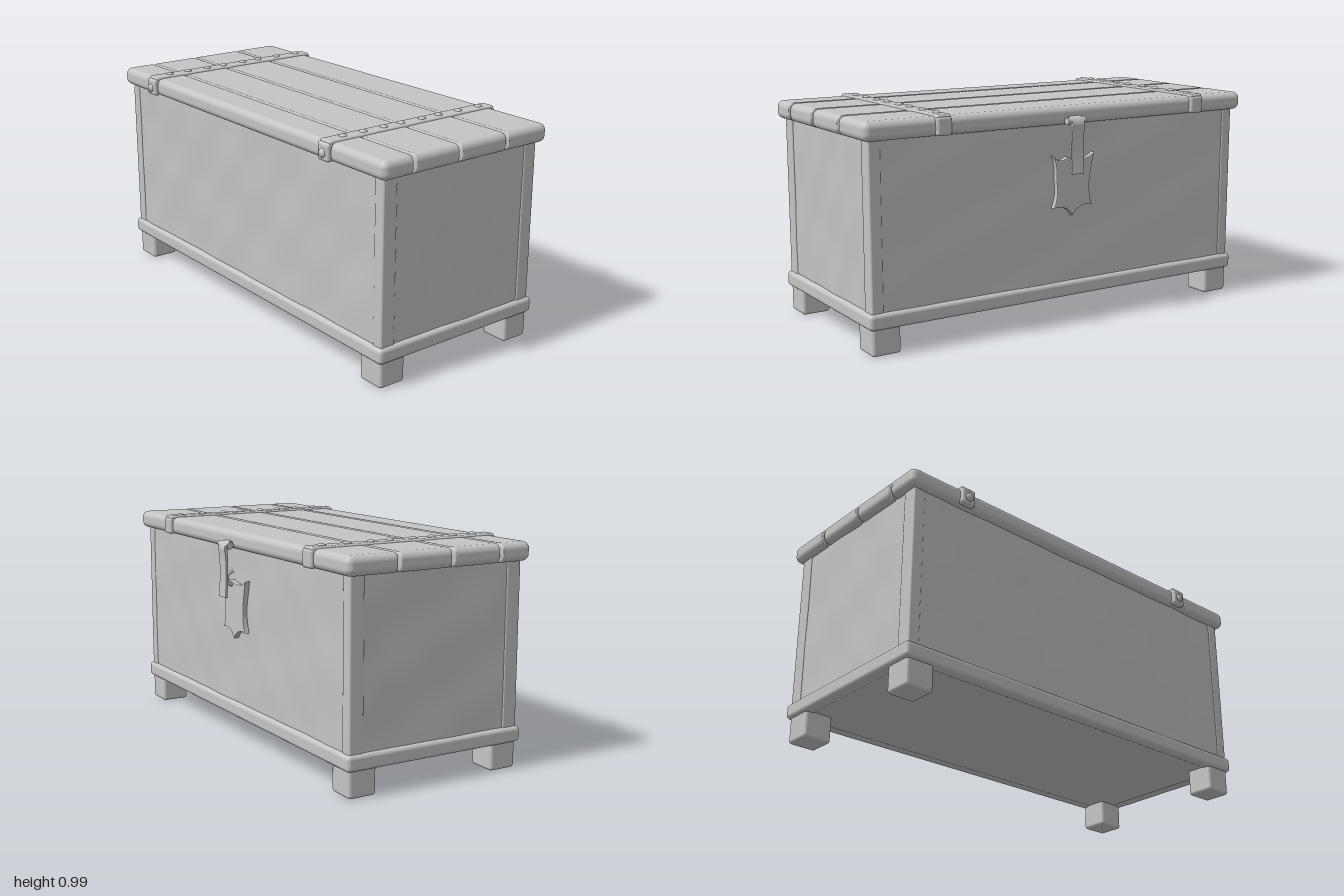
import * as THREE from 'three';
import { RoundedBoxGeometry } from 'three/addons/geometries/RoundedBoxGeometry.js';

const stone = new THREE.MeshStandardMaterial({ color: 0xc4c4c4 });
stone.name = 'plain grey';

// Adds a named mesh to a parent
function add(parent, name, geometry) {
  const mesh = new THREE.Mesh(geometry, stone);
  mesh.name = name;
  parent.add(mesh);
  return mesh;
}

// Rounded block given by its extents on each axis
function block(parent, name, [x0, x1], [y0, y1], [z0, z1], radius) {
  const g = new RoundedBoxGeometry(x1 - x0, y1 - y0, z1 - z0, 3, radius);
  g.translate((x0 + x1) / 2, (y0 + y1) / 2, (z0 + z1) / 2);
  return add(parent, name, g);
}

// Gentle hand-hewn unevenness
const wobble = (a, b) =>
  0.003 * (Math.sin(a * 9 + b * 5) * Math.cos(b * 11 - a * 3) + 0.5 * Math.sin(a * 21 - b * 17));

// Chest body with uneven side walls, flat top and bottom
function bodyGeometry() {
  const g = new THREE.BoxGeometry(0.832, 0.79, 1.91, 20, 18, 40);
  const p = g.attributes.position;
  const n = g.attributes.normal;
  for (let i = 0; i < p.count; i++) {
    const x = p.getX(i), y = p.getY(i), z = p.getZ(i);
    // fade out near the walls' edges so corners stay closed
    if (Math.abs(n.getX(i)) > 0.5) {
      const fade = Math.min(1, (0.955 - Math.abs(z)) * 8);
      p.setX(i, x + n.getX(i) * wobble(z, y + x) * fade);
    } else if (Math.abs(n.getZ(i)) > 0.5) {
      const fade = Math.min(1, (0.416 - Math.abs(x)) * 8);
      p.setZ(i, z + n.getZ(i) * wobble(x * 1.3 + z, y) * fade);
    }
  }
  g.computeVertexNormals();
  g.translate(-0.01, 0.518, 0);
  return g;
}

// Lid plank: edges facing a neighbour get a tighter rounding
function plank(parent, x0, x1, tightLeft, tightRight) {
  const r = 0.03, k = 0.3, half = (x1 - x0) / 2;
  const g = new RoundedBoxGeometry(x1 - x0, 0.082, 1.985, 4, r);
  const p = g.attributes.position, n = g.attributes.normal;
  const v = new THREE.Vector3();
  for (let i = 0; i < p.count; i++) {
    const x = p.getX(i);
    if ((x > 0 && !tightRight) || (x < 0 && !tightLeft)) continue;
    const inset = half - Math.abs(x);
    if (inset > r + 1e-4) continue;
    p.setX(i, Math.sign(x) * (half - inset * k));
    v.fromBufferAttribute(n, i);
    v.x /= k;
    v.normalize();
    n.setXYZ(i, v.x, v.y, v.z);
  }
  g.translate((x0 + x1) / 2, 0.939, 0);
  add(parent, 'lidPlank', g);
}

export function createModel() {
  const chest = new THREE.Group();
  chest.name = 'chest';

  // Body
  add(chest, 'body', bodyGeometry());

  // Corner posts and feet
  for (const s of [-1, 1]) {
    for (const [p0, p1, f0, f1] of [[-0.43, -0.358, -0.43, -0.30], [0.342, 0.41, 0.28, 0.41]]) {
      const z = [0.905, 0.96].map((a) => a * s).sort((a, b) => a - b);
      block(chest, 'cornerPost', [p0, p1], [0.13, 0.91], z, 0.008);
      const fz = [0.828, 0.96].map((a) => a * s).sort((a, b) => a - b);
      block(chest, 'foot', [f0, f1], [0.004, 0.14], fz, 0.014);
    }
  }

  // Base moulding
  const base = new THREE.Group();
  base.name = 'baseMoulding';
  chest.add(base);
  for (const z of [[0.91, 0.975], [-0.975, -0.91]])
    block(base, 'mouldingEnd', [-0.445, 0.425], [0.119, 0.188], z, 0.018);
  for (const x of [[-0.445, -0.385], [0.365, 0.425]])
    block(base, 'mouldingSide', x, [0.119, 0.188], [-0.975, 0.975], 0.018);

  // Lid of four planks on a hidden core
  const lid = new THREE.Group();
  lid.name = 'lid';
  chest.add(lid);
  const seams = [-0.458, -0.3, -0.057, 0.203, 0.442];
  for (let i = 0; i < 4; i++)
    plank(lid, seams[i] + (i ? 0.003 : 0), seams[i + 1] - (i < 3 ? 0.003 : 0), i > 0, i < 3);
  block(lid, 'lidCore', [-0.435, 0.42], [0.903, 0.968], [-0.97, 0.97], 0.01);

  // Straps across the lid, with rivets over each plank
  for (const z of [0.635, -0.705]) {
    const strap = new THREE.Group();
    strap.name = 'lidStrap';
    lid.add(strap);
    block(strap, 'strapTop', [-0.465, 0.45], [0.965, 0.988], [z - 0.034, z + 0.034], 0.01);
    block(strap, 'strapLeftEnd', [0.425, 0.456], [0.9, 0.98], [z - 0.036, z + 0.036], 0.013);
    block(strap, 'strapRightEnd', [-0.476, -0.442], [0.9, 0.98], [z - 0.036, z + 0.036], 0.013);
    for (const x of [-0.37, -0.265, -0.155, -0.06, 0.055, 0.15, 0.265, 0.385]) {
      const g = new THREE.SphereGeometry(0.018, 12, 6, 0, Math.PI * 2, 0, Math.PI / 2);
      g.scale(1, 0.6, 1);
      add(strap, 'rivet', g).position.set(x, 0.986, z);
    }
    const knob = new THREE.SphereGeometry(0.02, 12, 8);
    knob.scale(0.7, 1, 1);
    add(strap, 'endRivet', knob).position.set(-0.475, 0.935, z);
  }

  // Latch on the long side
  const latch = new THREE.Group();
  latch.name = 'latch';
  chest.add(latch);

  // Scalloped lock plate, drawn as (-z, y)
  const plate = new THREE.Shape();
  plate.moveTo(-0.085, 0.765);
  plate.quadraticCurveTo(-0.05, 0.725, -0.01, 0.755);
  plate.quadraticCurveTo(0.08, 0.725, 0.135, 0.765);
  plate.quadraticCurveTo(0.125, 0.73, 0.112, 0.65);
  plate.quadraticCurveTo(0.105, 0.58, 0.125, 0.53);
  plate.quadraticCurveTo(0.06, 0.545, 0.02, 0.49);
  plate.quadraticCurveTo(-0.015, 0.545, -0.08, 0.53);
  plate.quadraticCurveTo(-0.055, 0.58, -0.066, 0.65);
  plate.quadraticCurveTo(-0.06, 0.72, -0.085, 0.765);
  const plateGeometry = new THREE.ExtrudeGeometry(plate, {
    depth: 0.016, bevelSize: 0.004, bevelThickness: 0.005, bevelOffset: -0.004, bevelSegments: 2,
  });
  plateGeometry.rotateY(Math.PI / 2);
  add(latch, 'lockPlate', plateGeometry).position.x = 0.411;

  // Staple standing out of the plate
  const staple = new THREE.TorusGeometry(0.03, 0.008, 8, 16, Math.PI);
  staple.rotateZ(-Math.PI / 2);
  add(latch, 'staple', staple).position.set(0.428, 0.765, -0.01);

  // Hanging hasp, side profile in x and y
  const hasp = new THREE.Shape();
  hasp.moveTo(0.435, 0.92);
  hasp.lineTo(0.445, 0.936);
  hasp.quadraticCurveTo(0.482, 0.935, 0.485, 0.9);
  hasp.quadraticCurveTo(0.472, 0.83, 0.484, 0.685);
  hasp.lineTo(0.472, 0.683);
  hasp.quadraticCurveTo(0.462, 0.82, 0.468, 0.89);
  hasp.quadraticCurveTo(0.465, 0.91, 0.435, 0.905);
  const haspGeometry = new THREE.ExtrudeGeometry(hasp, {
    depth: 0.056, bevelSize: 0.003, bevelThickness: 0.004, bevelOffset: -0.003, bevelSegments: 2,
  });
  add(latch, 'hasp', haspGeometry).position.z = -0.04;

  // Hinge pin joining the hasp to the lid
  const pin = new THREE.CylinderGeometry(0.016, 0.016, 0.095, 14);
  pin.rotateX(Math.PI / 2);
  add(latch, 'haspPin', pin).position.set(0.462, 0.917, -0.01);

  return chest;
}
